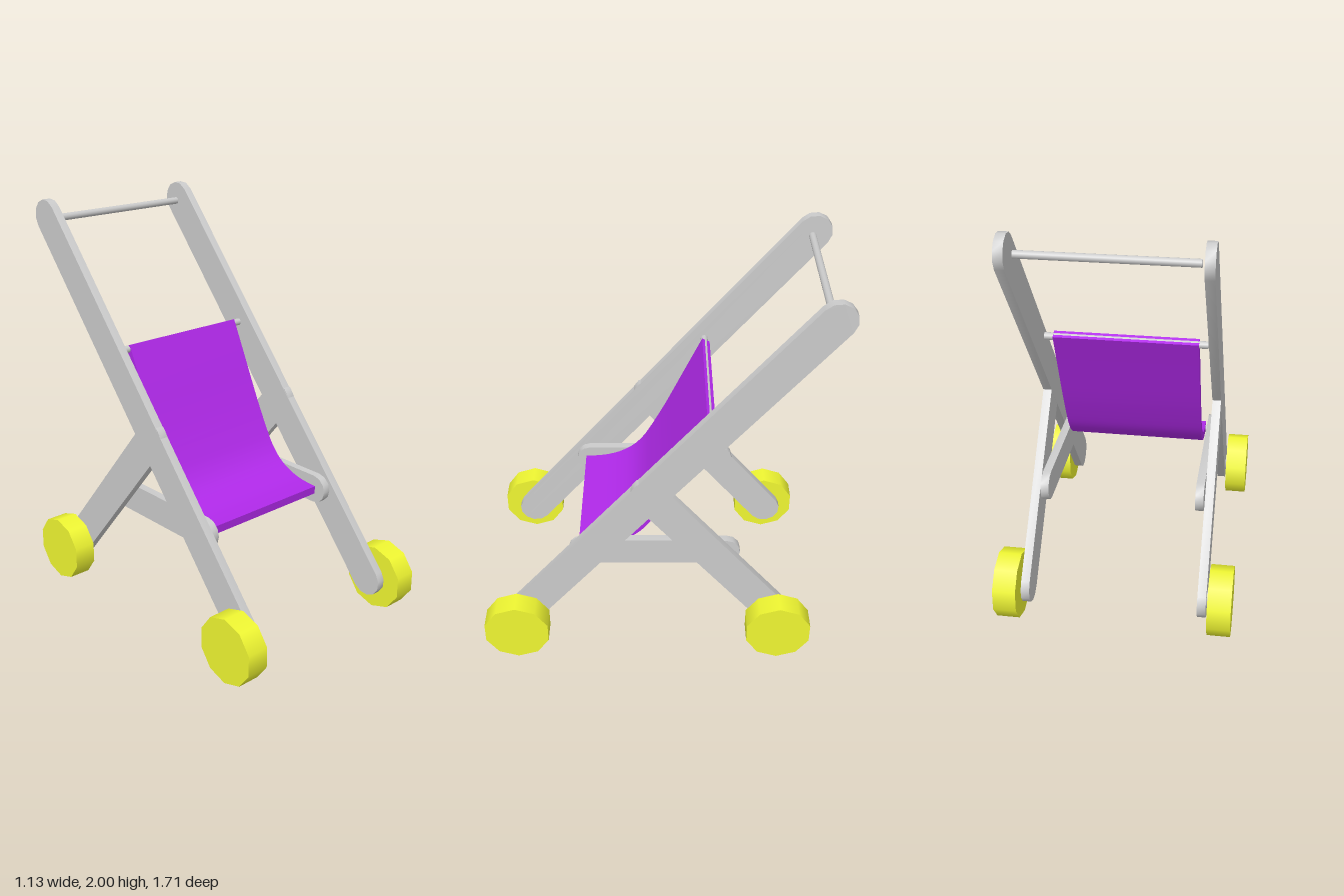
import * as THREE from 'three';
import { toCreasedNormals } from 'three/addons/utils/BufferGeometryUtils.js';

const V = (z, y) => new THREE.Vector2(z, y);
const grey = new THREE.MeshStandardMaterial({ color: 0xcccccc });
const yellow = new THREE.MeshStandardMaterial({ color: 0xf0f732 });
const purple = new THREE.MeshStandardMaterial({ color: 0xb029e9 });

// Extrudes a side profile drawn in (z, y) across x, centred on x = 0
function extrudeAcross(shape, width, curveSegments = 3) {
  const g = new THREE.ExtrudeGeometry(shape, { depth: width, bevelEnabled: false, curveSegments });
  g.translate(0, 0, -width / 2);
  g.rotateY(-Math.PI / 2);
  return toCreasedNormals(g, 0.6);
}

// Flat bar with rounded ends running from a to b
function barGeometry(a, b, radius, width) {
  const angle = Math.atan2(b.y - a.y, b.x - a.x);
  const s = new THREE.Shape();
  s.absarc(b.x, b.y, radius, angle - Math.PI / 2, angle + Math.PI / 2, false);
  s.absarc(a.x, a.y, radius, angle + Math.PI / 2, angle + Math.PI * 1.5, false);
  s.closePath();
  return extrudeAcross(s, width);
}

// Cylinder lying along x with a corner pointing straight up
function discGeometry(radius, width, sides) {
  const g = new THREE.CylinderGeometry(radius, radius, width, sides, 1, false, Math.PI / 2);
  return g.rotateZ(Math.PI / 2);
}

// Hanging cloth: a centre line thickened to both sides
function clothGeometry(width, thickness) {
  const curve = new THREE.SplineCurve([
    V(-0.257, 1.343), V(-0.165, 1.145), V(-0.075, 0.95), V(0.0, 0.805), V(0.05, 0.722),
    V(0.11, 0.657), V(0.19, 0.61), V(0.28, 0.585), V(0.378, 0.577),
  ]);
  const front = [], back = [];
  const n = 24;
  for (let i = 0; i <= n; i++) {
    const p = curve.getPoint(i / n), t = curve.getTangent(i / n);
    const normal = V(-t.y, t.x).multiplyScalar(thickness / 2);
    front.push(p.clone().add(normal));
    back.unshift(p.clone().sub(normal));
  }
  return extrudeAcross(new THREE.Shape([...front, ...back]), width);
}

export function createModel() {
  const model = new THREE.Group();
  model.name = 'stroller';
  const add = (name, geometry, material, x = 0, y = 0, z = 0) => {
    const mesh = new THREE.Mesh(geometry, material);
    mesh.name = name;
    mesh.position.set(x, y, z);
    model.add(mesh);
  };

  // Side frames, mirrored
  const pushBar = barGeometry(V(0.693, 0.17), V(-0.77, 1.915), 0.085, 0.043);
  const rearLeg = barGeometry(V(-0.628, 0.17), V(0.035, 0.965), 0.085, 0.042);
  const seatRail = barGeometry(V(0.357, 0.572), V(-0.348, 0.572), 0.073, 0.04);
  const wheel = discGeometry(0.167, 0.112, 10);
  const axle = discGeometry(0.042, 0.06, 10);
  for (const [side, label] of [[1, 'left'], [-1, 'right']]) {
    add(label + 'PushBar', pushBar, grey, side * 0.425);
    add(label + 'RearLeg', rearLeg, grey, side * 0.425);
    add(label + 'SeatRail', seatRail, grey, side * 0.379);
    for (const [z, end] of [[0.70, 'Front'], [-0.622, 'Rear']]) {
      add(label + end + 'Wheel', wheel, yellow, side * 0.511, 0.168, z);
      add(label + end + 'Axle', axle, grey, side * 0.44, 0.17, z);
    }
  }

  // Cross rods
  const rod = discGeometry(0.018, 0.776, 12);
  add('handleRod', rod, grey, 0, 1.904, -0.756);
  add('backrestRod', rod, grey, 0, 1.328, -0.25);
  add('seatFrontRod', rod, grey, 0, 0.572, 0.348);

  // Sling seat
  add('slingSeat', clothGeometry(0.69, 0.042), purple);
  return model;
}
